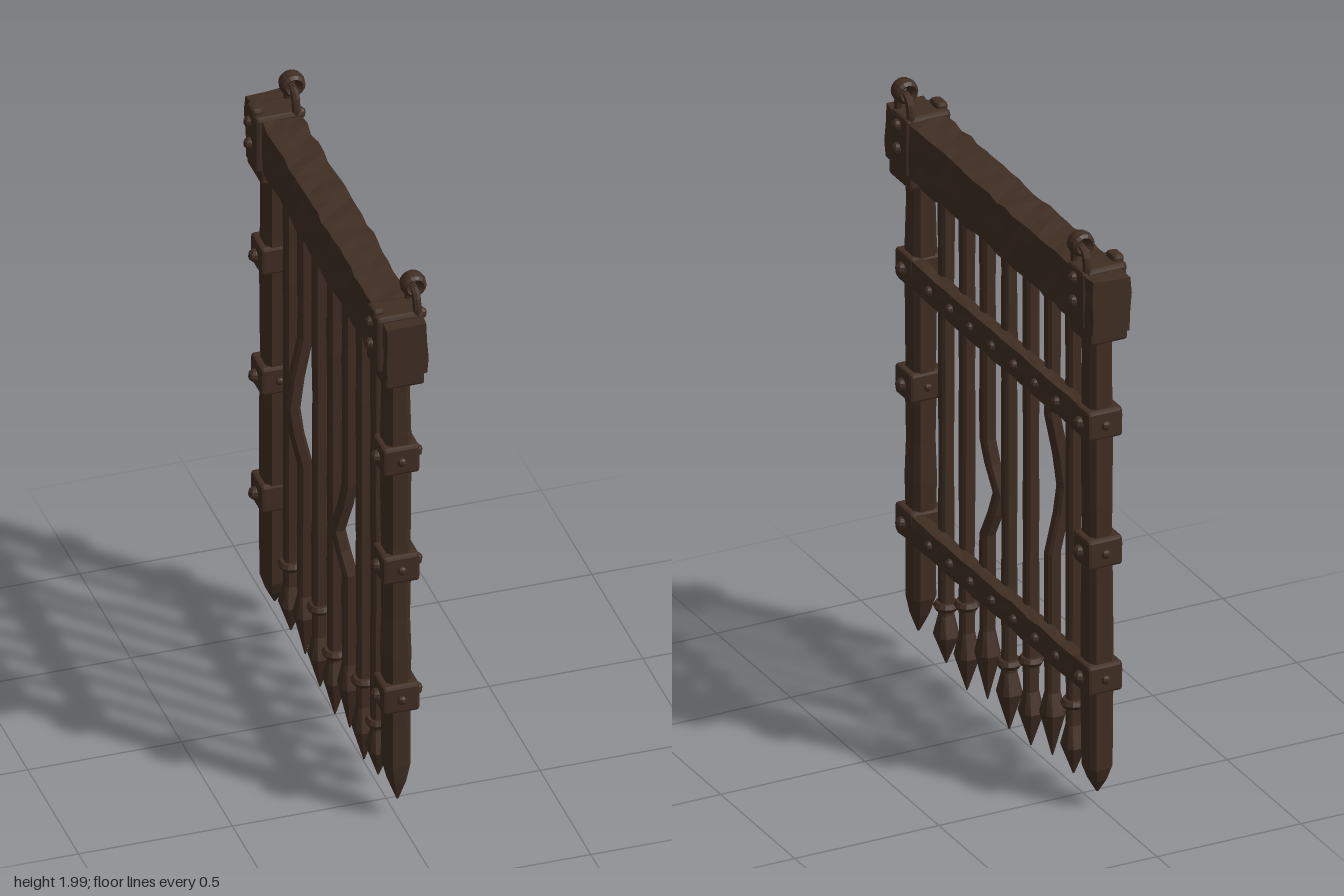
import * as THREE from 'three';
import { RoundedBoxGeometry } from 'three/addons/geometries/RoundedBoxGeometry.js';

const iron = new THREE.MeshStandardMaterial({ color: 0x402e23, flatShading: true });
iron.name = 'dark rusted brown';

// position-based wobble in -1..1, so shared corners stay joined
const noise = (a, b, c) => {
  const s = Math.sin(a * 127.1 + b * 311.7 + c * 74.7) * 43758.5453;
  return (s - Math.floor(s)) * 2 - 1;
};

export function createModel() {
  const model = new THREE.Group();
  model.name = 'portcullis';

  const add = (name, geo, x = 0, y = 0, z = 0) => {
    const m = new THREE.Mesh(geo, iron);
    m.name = name;
    m.position.set(x, y, z);
    model.add(m);
    return m;
  };

  // bevelled block given by its extents
  const block = (name, x0, x1, y0, y1, z0, z1, r = 0.01) =>
    add(name, new RoundedBoxGeometry(x1 - x0, y1 - y0, z1 - z0, 1, r),
      (x0 + x1) / 2, (y0 + y1) / 2, (z0 + z1) / 2);

  // long worn timber or strap with slightly uneven surfaces
  const wornBeam = (name, x0, x1, y0, y1, z0, z1, rows, wear) => {
    const g = new THREE.BoxGeometry(x1 - x0, y1 - y0, z1 - z0, 2, 3, rows);
    const p = g.attributes.position;
    for (let i = 0; i < p.count; i++) {
      const [x, y, z] = [p.getX(i), p.getY(i), p.getZ(i)].map(v => Math.round(v * 1e4) / 1e4);
      p.setXYZ(i, x + wear * noise(x, y, z), y + wear * noise(y, z, x), z);
    }
    g.computeVertexNormals();
    return add(name, g, (x0 + x1) / 2, (y0 + y1) / 2, (z0 + z1) / 2);
  };

  // chamfered-square shaft through rows of [x, y, z, half x, half z], top to bottom
  const chamfer = [[1, -0.6], [1, 0.6], [0.6, 1], [-0.6, 1], [-1, 0.6], [-1, -0.6], [-0.6, -1], [0.6, -1]];
  const shaft = (name, keys) => {
    const rows = [keys[0]];
    for (let k = 1; k < keys.length; k++) {
      const a = keys[k - 1], b = keys[k];
      const n = Math.max(1, Math.round((a[1] - b[1]) / 0.13));
      for (let j = 1; j <= n; j++) {
        const wear = j < n ? 1 + 0.06 * noise(a[1], a[2], j) : 1;
        rows.push(a.map((v, i) => (v + (b[i] - v) * j / n) * (i > 2 ? wear : 1)));
      }
    }
    const pos = [], idx = [];
    for (const [x, y, z, hx, hz] of rows)
      for (const [u, v] of chamfer) pos.push(x + u * hx, y, z + v * hz);
    const last = (rows.length - 1) * 8;
    for (let i = 0; i < 8; i++) {
      const j = (i + 1) % 8;
      for (let k = 0; k < last; k += 8)
        idx.push(k + i, k + j, k + 8 + i, k + j, k + 8 + j, k + 8 + i);
      if (i > 0 && i < 7) idx.push(0, j, i, last, last + i, last + j);
    }
    const g = new THREE.BufferGeometry();
    g.setAttribute('position', new THREE.Float32BufferAttribute(pos, 3));
    g.setIndex(idx);
    g.computeVertexNormals();
    return add(name, g);
  };

  // domed rivet
  const dome = new THREE.SphereGeometry(1, 8, 6);
  const rivet = (x, y, z, r = 0.018) => add('rivet', dome, x, y, z).scale.setScalar(r);

  // top beam
  wornBeam('topBeam', -0.06, 0.068, 1.685, 1.868, -0.705, 0.7, 26, 0.005);

  // side posts with pointed feet: centre, tip height, shoulder height, tip z
  for (const [z, tip, shoulder, tipZ] of [[0.594, 0.08, 0.21, 0.61], [-0.595, 0.06, 0.15, -0.597]]) {
    shaft('sidePost', [
      [0, 1.7, z, 0.04, 0.045], [0, shoulder, z, 0.04, 0.045],
      [0, (shoulder + tip) / 2, (z + tipZ) / 2, 0.026, 0.03], [0, tip, tipZ, 0.003, 0.004],
    ]);
  }

  // vertical bars: z, tip height, broad height, neck height, collar height, bends [dx, y, dz]
  const bars = [
    [0.422, 0.05, 0.15, 0.22, 0.25, []],
    [0.282, 0.02, 0.14, 0.22, 0.315, []],
    [0.143, 0.05, 0.21, 0.29, 0, [[0, 0.95, 0], [-0.01, 0.87, -0.012], [-0.028, 0.77, -0.036], [-0.015, 0.7, -0.025], [0, 0.62, 0]]],
    [-0.003, 0.01, 0.14, 0.21, 0.24, []],
    [-0.15, 0.02, 0.14, 0.21, 0.315, []],
    [-0.295, 0.05, 0.2, 0.27, 0, [[0, 1.22, 0], [-0.028, 1.08, 0], [-0.042, 0.97, 0], [-0.03, 0.88, 0], [0, 0.75, 0]]],
    [-0.437, 0.05, 0.15, 0.22, 0.295, []],
  ];
  for (const [z, tip, broad, neck, collar, bends] of bars) {
    const r = 0.022;
    shaft('verticalBar', [
      [0, 1.72, z, r, r],
      ...bends.map(([dx, y, dz]) => [dx, y, z + dz, r, r]),
      [0, neck, z, r, r * 0.9], [0, broad, z, 0.034, 0.041], [0, tip, z, 0.002, 0.002],
    ]);
    if (collar) {
      const ring = add('barCollar', new THREE.TorusGeometry(0.026, 0.016, 6, 12), 0, collar, z);
      ring.rotation.x = Math.PI / 2;
    }
  }

  // horizontal straps with a rivet at each bar
  for (const [y0, y1] of [[1.295, 1.392], [0.42, 0.512]]) {
    wornBeam('crossStrap', 0.014, 0.057, y0, y1, -0.64, 0.64, 20, 0.003);
    for (const [z] of bars) rivet(0.06, (y0 + y1) / 2, z, 0.017);
  }

  // clamps around the posts, riveted on the faces and outer ends
  const clamps = [
    [0.6, 1.345], [0.6, 0.945], [0.6, 0.467],
    [-0.6, 1.343], [-0.6, 0.9], [-0.6, 0.467],
  ];
  for (const [z, y] of clamps) {
    block('postClamp', -0.06, 0.06, y - 0.048, y + 0.052, z - 0.055, z + 0.055);
    rivet(0.063, y, z, 0.022);
    rivet(-0.063, y, z, 0.022);
    rivet(0, y, z + Math.sign(z) * 0.053, 0.016);
    if (y > 0.8 && y < 1) rivet(0, y, z - Math.sign(z) * 0.053, 0.014);
  }

  // beam-end fittings and lifting shackles
  for (const side of [1, -1]) {
    const z = side > 0 ? 0.597 : -0.593;
    block('beamClamp', -0.08, 0.077, 1.68, 1.882, z - 0.054, z + 0.054, 0.012);
    block('clampLug', -0.083, -0.045, 1.84, 1.9, z - 0.03, z + 0.03);
    const inner = z - side * 0.06, outer = z + side * 0.088;
    block('underBracket', -0.064, 0.066, 1.638, 1.7, Math.min(inner, outer), Math.max(inner, outer));
    for (const y of [1.765, 1.845]) {
      rivet(0.08, y, z, 0.02);
      rivet(-0.083, y, z, 0.02);
    }

    // upright loop
    const path = new THREE.CatmullRomCurve3(
      [[-0.04, 1.86], [-0.041, 1.9], [-0.026, 1.938], [0.026, 1.938], [0.041, 1.9], [0.04, 1.86]]
        .map(([w, y]) => new THREE.Vector3(0.055, y, z + w)));
    add('shackleLoop', new THREE.TubeGeometry(path, 14, 0.014, 8, false));

    // wide ring through the loop
    const ring = add('liftingRing', new THREE.TorusGeometry(0.028, 0.014, 8, 16), 0.055, 1.958, z);
    ring.scale.z = 2;
  }

  return model;
}
